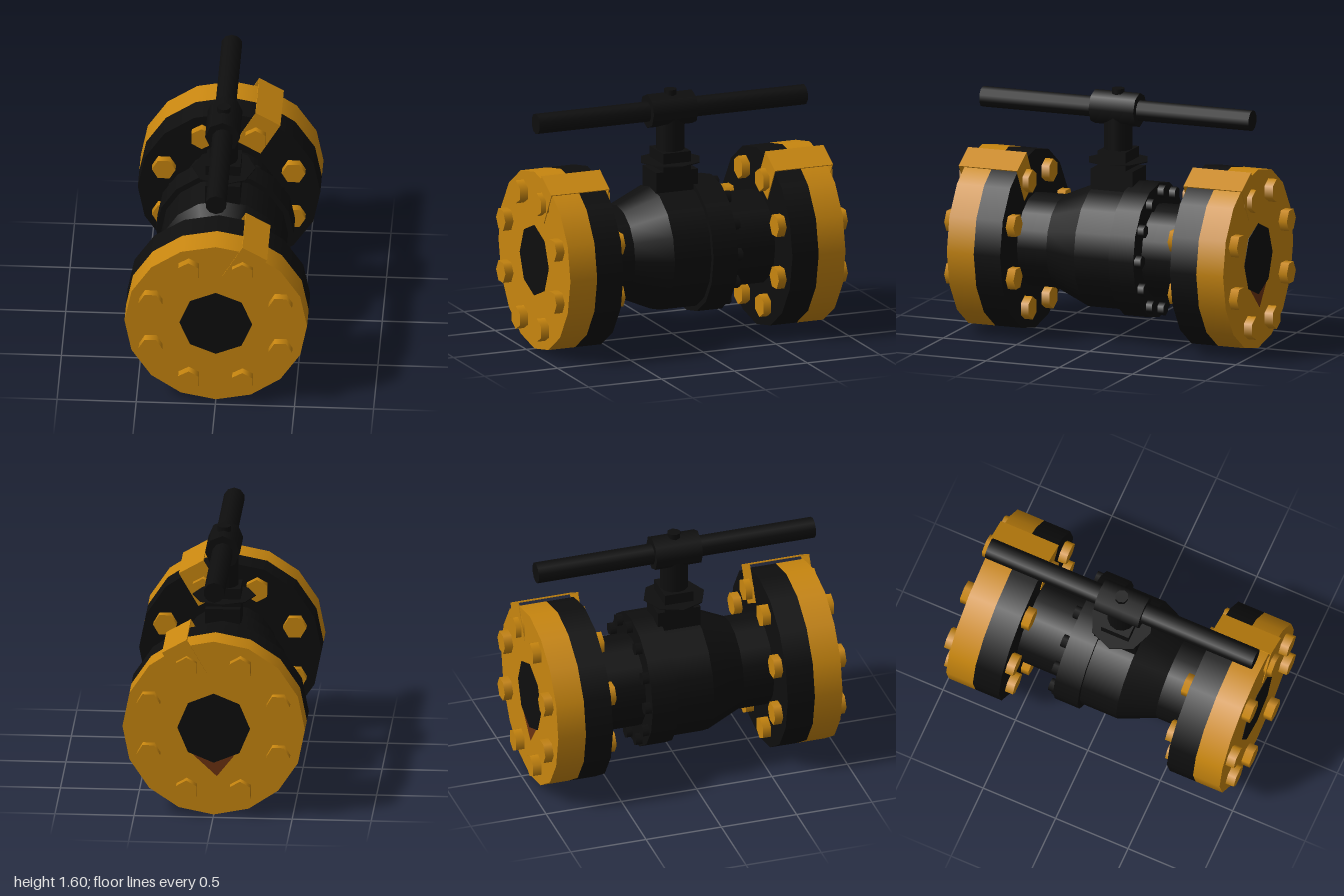
import * as THREE from 'three';

const CY = 0.578; // height of the pipe axis

export function createModel() {
  const model = new THREE.Group();
  const gold = new THREE.MeshStandardMaterial({ color: 0xc8860f });
  gold.name = 'gold paint';
  const black = new THREE.MeshStandardMaterial({ color: 0x0e0e0e });
  black.name = 'black iron';
  const rust = new THREE.MeshStandardMaterial({ color: 0x6b3210 });
  rust.name = 'rust';

  function add(parent, name, geometry, material, x = 0, y = 0, z = 0) {
    const mesh = new THREE.Mesh(geometry, material);
    mesh.name = name;
    mesh.position.set(x, y, z);
    parent.add(mesh);
    return mesh;
  }
  // Cylinder lying along z from z0 to z1, with radius r0 at z0 and r1 at z1
  function alongZ(parent, name, r0, r1, z0, z1, sides, material, x = 0, y = CY) {
    const g = new THREE.CylinderGeometry(r1, r0, z1 - z0, sides).rotateX(Math.PI / 2);
    return add(parent, name, g, material, x, y, (z0 + z1) / 2);
  }
  const box = (parent, name, w, h, d, material, x, y, z) =>
    add(parent, name, new THREE.BoxGeometry(w, h, d), material, x, y, z);

  // Valve body
  alongZ(model, 'frontPipe', 0.3, 0.3, 0.37, 0.59, 16, black);
  alongZ(model, 'bodyTaper', 0.4, 0.3, 0.15, 0.38, 16, black);
  alongZ(model, 'bodyBarrel', 0.4, 0.4, -0.11, 0.15, 16, black);
  alongZ(model, 'bodyFlange', 0.435, 0.435, -0.27, -0.1, 16, black);
  alongZ(model, 'backPipe', 0.3, 0.3, -0.59, -0.26, 16, black);
  for (let i = 0; i < 12; i++) {
    const a = (i * Math.PI) / 6;
    alongZ(model, 'bodyBolt', 0.042, 0.042, -0.312, -0.26, 6, black,
      0.38 * Math.cos(a), CY + 0.38 * Math.sin(a));
  }

  // End flanges, mirrored front and back
  for (const s of [1, -1]) {
    const end = new THREE.Group();
    end.name = s > 0 ? 'frontEnd' : 'backEnd';
    model.add(end);
    const span = (a, b) => (s > 0 ? [a, b] : [-b, -a]);

    alongZ(end, 'innerFlange', 0.577, 0.577, ...span(0.58, 0.76), 16, black);
    alongZ(end, 'outerFlange', 0.577, 0.577, ...span(0.76, 0.944), 16, gold);
    alongZ(end, 'bore', 0.23, 0.23, ...span(0.943, 0.947), 8, black);

    // Bolt heads outside, nuts inside
    for (let i = 0; i < 8; i++) {
      const a = ((i + 0.5) * Math.PI) / 4;
      const x = 0.444 * Math.cos(a), y = CY + 0.444 * Math.sin(a);
      const turn = Math.abs(Math.cos(a)) > 0.7 ? Math.PI / 6 : 0;
      alongZ(end, 'boltHead', 0.075, 0.075, ...span(0.94, 1), 6, gold, x, y).rotation.z = turn;
      alongZ(end, 'nut', 0.075, 0.075, ...span(0.526, 0.585), 6, gold, x, y).rotation.z = turn;
    }

    // Folded sheet clip over the flange rim
    const clip = new THREE.Group();
    clip.name = 'rimClip';
    clip.position.set(0.185, 1.018, 0);
    clip.rotation.z = -Math.PI / 6;
    end.add(clip);
    box(clip, 'clipTop', 0.18, 0.006, 0.4, gold, 0, 0.122, s * 0.767);
    box(clip, 'clipOuterLeg', 0.18, 0.25, 0.005, gold, 0, 0, s * 0.964);
    box(clip, 'clipInnerLeg', 0.18, 0.25, 0.005, gold, 0, 0, s * 0.57);
  }

  // Rust stain under the back bore
  const stain = new THREE.Shape([
    new THREE.Vector2(-0.14, -0.17), new THREE.Vector2(0.02, -0.32), new THREE.Vector2(0.13, -0.18),
  ]);
  add(model, 'rustStain', new THREE.ShapeGeometry(stain).rotateY(Math.PI), rust, 0, CY, -0.9455);

  // Bonnet and stem
  const Z = 0.012;
  box(model, 'bonnetPad', 0.22, 0.2, 0.285, black, 0, 0.99, Z);
  add(model, 'stopPlate', new THREE.CylinderGeometry(0.2, 0.2, 0.006, 8), black, 0, 1.138, Z);
  box(model, 'bonnetCap', 0.22, 0.13, 0.19, black, 0, 1.145, Z);
  add(model, 'stem', new THREE.CylinderGeometry(0.09, 0.09, 0.3, 12), black, 0, 1.32, Z);

  // Handle hub, set screw and bar
  alongZ(model, 'handleHub', 0.11, 0.11, -0.135, 0.17, 8, black, 0, 1.47);
  add(model, 'setScrew', new THREE.CylinderGeometry(0.043, 0.043, 0.08, 8), black, 0, 1.56, Z);
  alongZ(model, 'handleBar', 0.067, 0.067, -0.905, 0.935, 10, black, 0, 1.467);

  return model;
}
